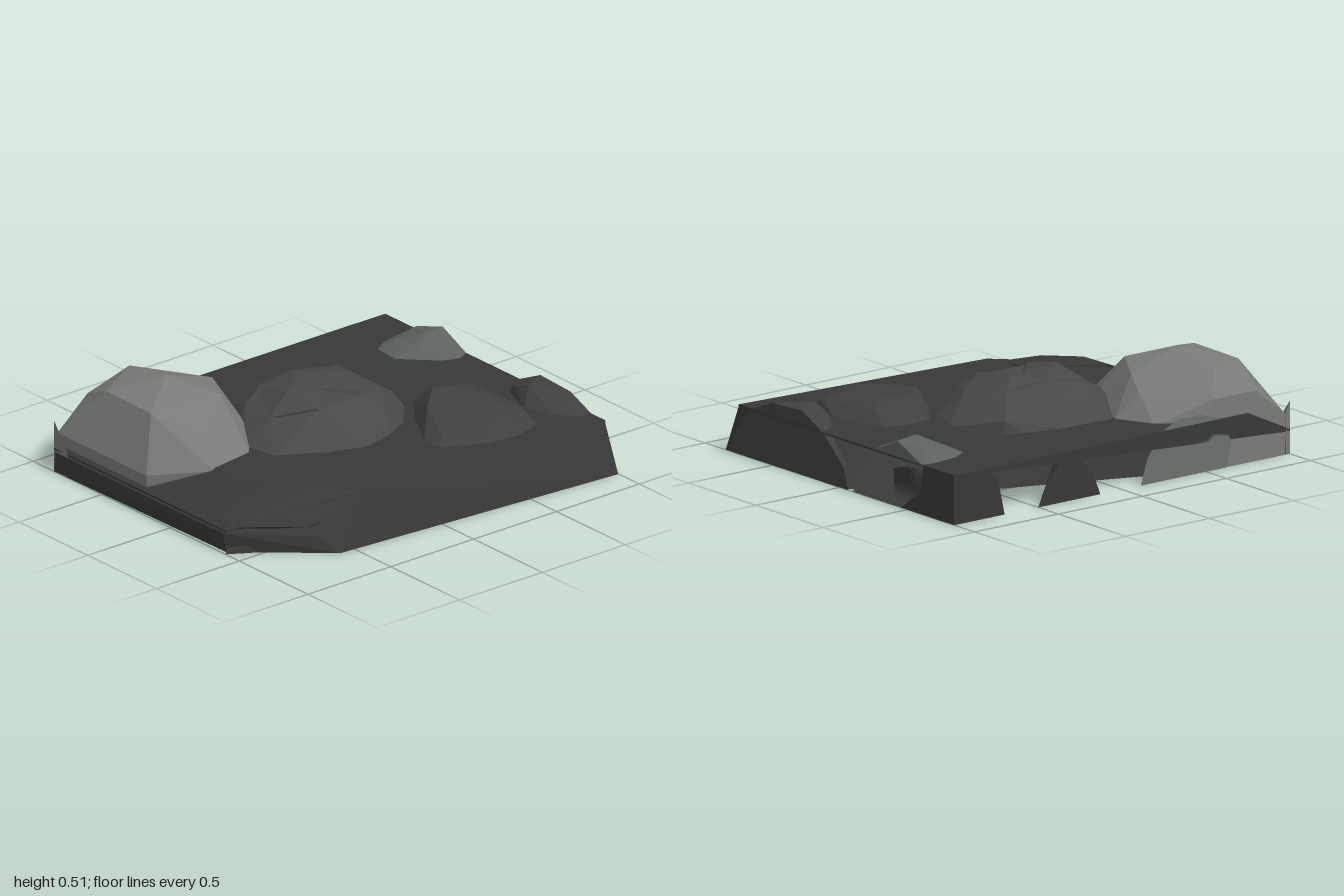
import * as THREE from 'three';
import { ConvexGeometry } from 'three/addons/geometries/ConvexGeometry.js';

// A faceted stone: the hull around a handful of corner points [x, y, z]
function stone(name, color, points) {
  const geometry = new ConvexGeometry(points.map((p) => new THREE.Vector3(...p)));
  const mesh = new THREE.Mesh(geometry, new THREE.MeshStandardMaterial({ color, flatShading: true }));
  mesh.name = name;
  return mesh;
}

// Corner points of an outline [x, z] laid at one height
const level = (y, outline) => outline.map(([x, z]) => [x, y, z]);

const DARK = 0x383838;
const MIDDLE = 0x484848;
const PALE = 0x787b78;

export function createModel() {
  const group = new THREE.Group();
  group.name = 'rockyGround';
  const add = (...args) => group.add(stone(...args));

  // Very thin ground plate, dipping along its left edge
  add('groundPlate', DARK, [
    ...level(0.24, [[-0.75, -0.85], [1, -0.85], [1, 0.75], [-0.4, 0.655], [-0.75, 0.3]]),
    ...level(0.12, [[-1, -0.85], [-1, 0.4]]),
    ...level(0.23, [[-0.75, -0.85], [1, -0.85], [1, 0.754]]),
    ...level(0.11, [[-1, -0.85], [-1, 0.4]]),
  ]);

  // Solid foundation under the front and left, set back below the rear edge
  add('foundation', DARK, [
    ...level(0, [[0.997, 0.85], [-0.58, 0.73], [-0.62, 0.6], [-0.98, 0.38], [-1, -0.848], [-0.33, -0.77],
      [0.44, -0.48], [0.82, -0.06], [0.997, -0.04]]),
    ...level(0.235, [[0.997, 0.752], [-0.4, 0.655]]),
    ...level(0.2, [[-0.76, 0.3], [-0.78, -0.8], [-0.3, -0.68], [0.34, -0.36], [0.66, 0.08], [0.997, 0.15]]),
    [-0.66, 0.08, 0.645], [-1, 0.1, -0.84], [-1, 0.1, 0.38],
  ]);

  // Large pale boulder, cut flat at the rear
  add('largeBoulder', PALE, [
    [-0.63, 0.51, -0.48], [-0.86, 0.44, -0.64], [-0.87, 0.44, -0.3], [-0.61, 0.455, -0.77],
    [-0.47, 0.44, -0.28], [-0.35, 0.42, -0.48], [-0.7, 0.36, -0.1], [-0.3, 0.36, -0.6],
    ...level(0.34, [[-0.54, -0.847], [-0.8, -0.847]]),
    ...level(0.23, [[-0.76, 0.03], [-0.51, -0.01], [-0.34, -0.2], [-0.2, -0.54], [-0.29, -0.73], [-0.5, -0.847]]),
    ...level(0.19, [[-0.98, -0.2], [-0.98, -0.48], [-0.98, -0.847]]),
    ...level(0, [[-0.97, -0.2], [-0.97, -0.847], [-0.5, -0.847], [-0.3, -0.6], [-0.6, -0.1]]),
  ]);

  // Flat-cut stone below the boulder, just breaking through the plate
  add('boulderFoot', 0x6c716d, [
    ...level(0, [[-0.11, -0.85], [-0.62, -0.85], [-0.3, -0.72], [-0.55, -0.7]]),
    ...level(0.12, [[-0.15, -0.85], [-0.65, -0.85], [-0.3, -0.74]]),
    ...level(0.235, [[-0.23, -0.85], [-0.6, -0.85], [-0.36, -0.8]]),
    ...level(0.28, [[-0.33, -0.85], [-0.47, -0.85]]),
  ]);

  // Sliver at the rear left corner
  add('cornerSliver', PALE, [
    [-1, 0.26, -0.85], [-0.975, 0.2, -0.85], [-0.975, 0, -0.85], [-1, 0, -0.85],
    [-1, 0, -0.75], [-1, 0.13, -0.75],
  ]);

  // Broad boulder in the middle with two humps
  add('middleBoulder', MIDDLE, [
    [0, 0.4, -0.27], [-0.03, 0.385, -0.02], [-0.17, 0.38, 0.06], [0.13, 0.38, 0.06],
    [0.06, 0.37, -0.4], [-0.2, 0.37, -0.33], [0.23, 0.375, -0.28], [0.28, 0.345, -0.03],
    [-0.33, 0.335, -0.08], [-0.1, 0.33, 0.17], [0.17, 0.32, 0.16],
    [0.36, 0.3, -0.43], [-0.3, 0.33, -0.3], [-0.1, 0.32, -0.46],
    ...level(0.23, [[-0.2, -0.54], [0.06, -0.53], [0.28, -0.48], [0.38, -0.43], [0.47, -0.15], [0.4, 0.03],
      [0.27, 0.18], [0.12, 0.25], [-0.05, 0.29], [-0.24, 0.22], [-0.46, 0.09], [-0.49, -0.08], [-0.4, -0.3]]),
    ...level(0.05, [[-0.2, -0.5], [0.3, -0.45], [0.4, 0], [0, 0.25], [-0.4, 0.05]]),
  ]);
  add('leftHump', MIDDLE, [
    [-0.18, 0.43, -0.13], [-0.02, 0.402, -0.1], [0, 0.41, -0.27], [-0.2, 0.385, -0.33],
    [-0.33, 0.345, -0.08], [-0.17, 0.392, 0.06], [-0.1, 0.33, 0.1],
  ]);
  add('rightHump', MIDDLE, [
    [0.13, 0.43, -0.18], [-0.02, 0.402, -0.1], [0, 0.41, -0.27], [0.23, 0.392, -0.28],
    [0.28, 0.355, -0.03], [0.13, 0.395, 0.06], [0.05, 0.35, 0],
  ]);

  // Low flat boulder at the front right
  add('flatBoulder', 0x404040, [
    [0.35, 0.32, 0.24], [0.5, 0.33, 0.1], [0.62, 0.33, 0.2], [0.58, 0.325, 0.42],
    [0.7, 0.3, 0.12], [0.52, 0.3, 0.54], [0.25, 0.27, 0.47], [0.74, 0.28, 0.45],
    ...level(0.23, [[0.18, 0.42], [0.19, 0.51], [0.4, 0.62], [0.6, 0.64], [0.73, 0.6], [0.82, 0.25],
      [0.73, 0], [0.64, -0.04], [0.47, -0.02], [0.34, 0.15]]),
    ...level(0.12, [[0.25, 0.45], [0.6, 0.6], [0.75, 0.2], [0.6, 0]]),
  ]);

  // Boulder at the right edge, cut flat on the side
  add('sideBoulder', 0x404040, [
    [0.87, 0.32, 0.35], [1, 0.31, 0.28], [1, 0.3, 0.5], [0.92, 0.285, 0.5], [0.87, 0.28, 0.25],
    ...level(0.235, [[0.8, 0.4], [0.85, 0.56], [0.93, 0.65], [1, 0.66], [0.86, 0.25], [0.95, 0.14], [1, 0.12]]),
    ...level(0.1, [[1, 0.78], [1, -0.03], [0.85, 0.1]]),
    ...level(0, [[1, 0.82], [1, -0.06], [0.85, 0.1], [0.8, 0.5]]),
  ]);

  // Boulder at the rear right, cut flat on the side
  add('rearBoulder', 0x5c615d, [
    [0.88, 0.325, -0.42], [1, 0.315, -0.43], [0.8, 0.28, -0.52], [0.8, 0.28, -0.38], [0.95, 0.29, -0.56],
    ...level(0.235, [[0.7, -0.56], [0.69, -0.42], [0.86, -0.25], [0.94, -0.22], [1, -0.25], [0.94, -0.63],
      [1, -0.62], [0.78, -0.61]]),
    ...level(0.1, [[1, -0.13], [0.76, -0.4], [1, -0.6]]),
    ...level(0, [[1, -0.1], [0.88, -0.28], [1, -0.45]]),
  ]);

  // Stones hanging under the rear edge
  add('cornerStone', DARK, [
    ...level(0, [[1, -0.85], [1, -0.41], [0.7, -0.85]]),
    ...level(0.18, [[1, -0.4], [0.8, -0.55], [0.74, -0.85]]),
    ...level(0.235, [[1, -0.6], [1, -0.85], [0.82, -0.85]]),
  ]);
  add('rearStone', DARK, [
    ...level(0, [[0.5, -0.85], [0.13, -0.85], [0.3, -0.7]]),
    ...level(0.1, [[0.45, -0.85], [0.17, -0.85], [0.31, -0.7]]),
    ...level(0.2, [[0.36, -0.85], [0.26, -0.85], [0.3, -0.74]]),
  ]);

  // Broken rock at the front left corner
  add('frontRock', DARK, [
    [-0.55, 0.262, 0.37], [-0.42, 0.25, 0.41], [-0.74, 0.255, 0.36], [-0.76, 0.245, 0.21], [-0.6, 0.255, 0.5],
    [-0.93, 0.18, 0.15], [-0.98, 0.14, 0.3], [-0.95, 0.13, 0.42],
    [-0.43, 0.235, 0.6], [-0.46, 0.2, 0.64], [-0.55, 0.14, 0.645], [-0.68, 0.12, 0.61],
    [-0.5, 0.09, 0.6], [-0.92, 0.1, 0.4], [-0.5, 0.1, 0.35],
  ]);
  add('frontChip', DARK, [
    [-1, 0, 0.4], [-0.8, 0, 0.52], [-0.88, 0.05, 0.46], [-0.9, 0, 0.3], [-0.97, 0.03, 0.38],
  ]);

  return group;
}
